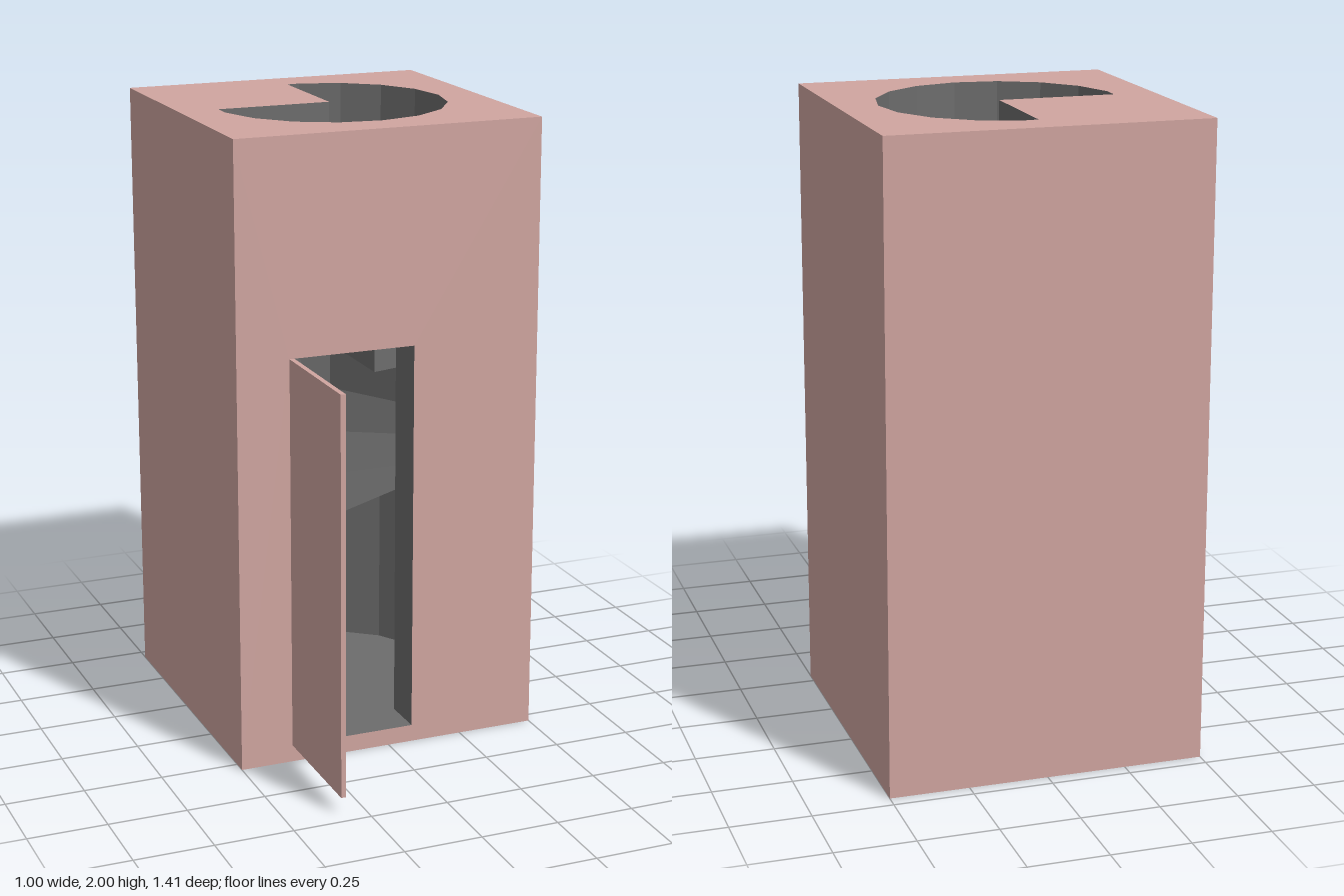
import * as THREE from 'three';

const CZ = -0.205, R = 0.375, SIDES = 17, OFFSET = 0.02;   // stair shaft
const FRONT = 0.295, BACK = -0.705, HALF = 0.5, TOP = 2;   // tower block
const FLOOR = 0.055, DOOR_TOP = 1.32, DOOR_L = -0.33, DOOR_R = 0.08;
const STEPS = 12, RISE = (TOP - FLOOR) / (STEPS + 1), THICK = 0.19;

const pink = new THREE.MeshStandardMaterial({ color: 0xd0a5a0, flatShading: true, side: THREE.DoubleSide });
const grey = new THREE.MeshStandardMaterial({ color: 0x6c6c6c, flatShading: true, side: THREE.DoubleSide });

// Point (x, z) on the many-sided shaft wall at an angle
function rim(a) {
  const s = (Math.PI * 2) / SIDES;
  const t = THREE.MathUtils.euclideanModulo(a - OFFSET, s) - s / 2;
  const r = (R * Math.cos(s / 2)) / Math.cos(t);
  return new THREE.Vector2(r * Math.cos(a), CZ + r * Math.sin(a));
}

// Shaft wall from angle a to b, keeping every corner in between
function arc(a, b) {
  const s = (Math.PI * 2) / SIDES, pts = [rim(a)];
  for (let k = Math.ceil((a - OFFSET) / s + 1e-4); OFFSET + k * s < b - 1e-4; k++) pts.push(rim(OFFSET + k * s));
  pts.push(rim(b));
  return pts;
}

// Vertical wall following a plan outline
function wall(pts, y0, y1) {
  const pos = [];
  for (let i = 0; i < pts.length - 1; i++) {
    const p = pts[i], q = pts[i + 1];
    pos.push(p.x, y0, p.y, q.x, y0, q.y, q.x, y1, q.y, p.x, y0, p.y, q.x, y1, q.y, p.x, y1, p.y);
  }
  const g = new THREE.BufferGeometry();
  g.setAttribute('position', new THREE.Float32BufferAttribute(pos, 3));
  g.computeVertexNormals();
  return g;
}

// Horizontal surface with an optional hole
function flat(pts, y, hole) {
  const shape = new THREE.Shape(pts);
  if (hole) shape.holes.push(new THREE.Path(hole));
  return new THREE.ShapeGeometry(shape).rotateX(Math.PI / 2).translate(0, y, 0);
}

export function createModel() {
  const model = new THREE.Group();
  const add = (name, geometry, material) => {
    const mesh = new THREE.Mesh(geometry, material);
    mesh.name = name;
    model.add(mesh);
    return mesh;
  };
  const v = (x, z) => new THREE.Vector2(x, z);
  const centre = v(0, CZ);
  const square = [v(-HALF, FRONT), v(-HALF, BACK), v(HALF, BACK), v(HALF, FRONT)];

  // Outer block: side and back walls, base, roof with three-quarter opening
  add('outerWalls', wall(square, 0, TOP), pink);
  add('base', flat(square, 0), pink);
  const opening = [...arc(-Math.PI / 2, Math.PI), centre];
  add('roof', flat(square, TOP, opening), pink);

  // Front wall with doorway
  const front = new THREE.Shape([v(-HALF, 0), v(HALF, 0), v(HALF, TOP), v(-HALF, TOP)]);
  front.holes.push(new THREE.Path([v(DOOR_L, FLOOR), v(DOOR_L, DOOR_TOP), v(DOOR_R, DOOR_TOP), v(DOOR_R, FLOOR)]));
  add('frontWall', new THREE.ShapeGeometry(front).translate(0, 0, FRONT), pink);

  // Shaft and entrance passage
  const aL = Math.acos(DOOR_L / R), aR = Math.acos(DOOR_R / R);
  const jambL = v(DOOR_L, FRONT), jambR = v(DOOR_R, FRONT);
  const lower = [jambL, ...arc(aL, aR + Math.PI * 2), jambR];
  const under = TOP - THICK;
  add('lowerShaft', wall(lower, FLOOR, DOOR_TOP), grey);
  add('shaftFloor', flat(lower, FLOOR), grey);
  add('passageCeiling', flat([jambR, ...arc(aR, aL), jambL], DOOR_TOP), grey);
  add('upperShaft', wall(arc(0, Math.PI * 2), DOOR_TOP, under), grey);

  // Top of the shaft and the landing at the head of the stair
  add('topShaft', wall([...opening, opening[0]], under, TOP), grey);
  add('landingUnderside', flat([centre, ...arc(Math.PI, Math.PI * 1.5)], under), grey);

  // Spiral stair of wedge steps
  const stair = new THREE.Group();
  stair.name = 'spiralStair';
  const sweep = Math.PI / 6;
  const wedge = new THREE.Shape([v(0, 0), v(R, 0), v(R * Math.cos(sweep), R * Math.sin(sweep))]);
  const stepGeometry = new THREE.ExtrudeGeometry(wedge, { depth: THICK, bevelEnabled: false }).rotateX(Math.PI / 2);
  for (let i = 0; i < STEPS; i++) {
    const step = new THREE.Mesh(stepGeometry, grey);
    step.name = 'step';
    step.position.set(0, FLOOR + RISE * (i + 1), CZ);
    step.rotation.y = -(Math.PI + i * sweep);
    stair.add(step);
  }
  model.add(stair);

  // Door standing open
  const width = DOOR_R - DOOR_L;
  const door = add('door', new THREE.BoxGeometry(0.016, DOOR_TOP - FLOOR, width), pink);
  door.position.set(DOOR_L + 0.008, (DOOR_TOP + FLOOR) / 2, FRONT + width / 2);

  return model;
}
